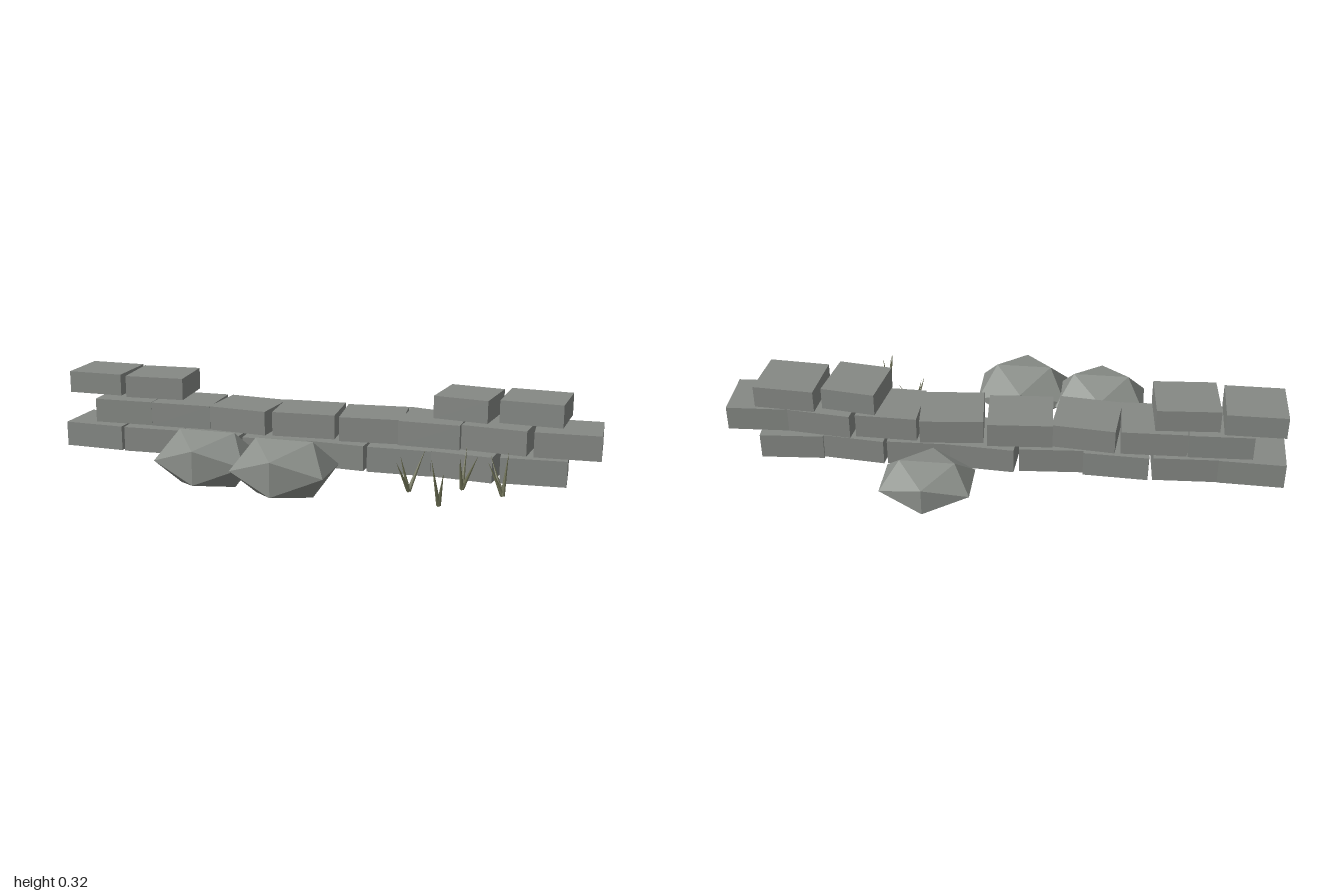
import * as THREE from 'three';

export function createModel() {
  const model = new THREE.Group();
  const mat = (name, color) => {
    const m = new THREE.MeshStandardMaterial({ color });
    m.name = name;
    return m;
  };
  const stone = mat('wall stone', 0x858884);
  const rockGrey = mat('rock grey', 0x8b8f8a);
  const dryGrass = mat('dry grass', 0x74775a);
  rockGrey.flatShading = true;

  // Wall courses: each block is [centre x, centre z, length, turn]
  const course = (name, y, height, blocks) => {
    const group = new THREE.Group();
    group.name = name;
    for (const [x, z, length, turn] of blocks) {
      const block = new THREE.Mesh(new THREE.BoxGeometry(length, height, 0.2), stone);
      block.name = 'wallBlock';
      block.position.set(x, y, z);
      block.rotation.y = turn;
      group.add(block);
    }
    model.add(group);
  };
  course('bottomCourse', 0.078, 0.092, [
    [-0.88, -0.045, 0.232, -0.03], [-0.645, -0.045, 0.23, 0.05],
    [-0.408, -0.05, 0.23, -0.04], [-0.17, -0.04, 0.23, 0.07],
    [0.065, -0.052, 0.23, -0.06], [0.3, -0.047, 0.23, 0.03],
    [0.53, -0.045, 0.23, -0.09], [0.767, -0.053, 0.228, 0.07],
  ]);
  course('middleCourse', 0.181, 0.088, [
    [-0.76, -0.045, 0.225, 0.04], [-0.53, -0.05, 0.23, 0.03],
    [-0.295, -0.045, 0.225, -0.09], [-0.058, -0.05, 0.23, 0.07],
    [0.187, -0.052, 0.225, 0.1], [0.41, -0.05, 0.22, -0.02],
    [0.645, -0.05, 0.23, -0.1], [0.882, -0.043, 0.226, 0.05],
  ]);
  course('topCourse', 0.281, 0.08, [
    [-0.874, -0.055, 0.21, 0], [-0.637, -0.047, 0.222, 0.07],
    [0.53, -0.052, 0.195, -0.13], [0.765, -0.06, 0.218, -0.06],
  ]);

  // Flattened rocks: [position, scale]
  const rocks = [
    [[-0.33, 0.1, 0.274], [0.194, 0.115, 0.166]],
    [[-0.034, 0.101, 0.311], [0.194, 0.115, 0.182]],
    [[0.234, 0.101, -0.337], [0.182, 0.09, 0.154]],
  ];
  for (const [position, scale] of rocks) {
    const rock = new THREE.Mesh(new THREE.IcosahedronGeometry(1, 0), rockGrey);
    rock.name = 'rock';
    rock.position.set(...position);
    rock.scale.set(...scale);
    model.add(rock);
  }

  // Grass tufts: a root and the tips of its blades
  const tufts = [
    [[0.38, 0.03, 0.225], [[0.425, 0.17, 0.17], [0.348, 0.145, 0.28], [0.352, 0.155, 0.235]]],
    [[0.548, 0.03, 0.15], [[0.553, 0.172, 0.1], [0.6, 0.15, 0.15], [0.547, 0.16, 0.2]]],
    [[0.692, 0.03, 0.185], [[0.64, 0.155, 0.135], [0.642, 0.15, 0.2], [0.705, 0.18, 0.165]]],
    [[0.508, 0.03, 0.345], [[0.5, 0.165, 0.405], [0.53, 0.155, 0.385], [0.485, 0.19, 0.365]]],
  ];
  const up = new THREE.Vector3(0, 1, 0);
  for (const [root, tips] of tufts) {
    const tuft = new THREE.Group();
    tuft.name = 'grassTuft';
    tuft.position.set(...root);
    for (const tip of tips) {
      const lean = new THREE.Vector3(...tip).sub(tuft.position);
      const blade = new THREE.Mesh(new THREE.ConeGeometry(0.008, lean.length(), 4), dryGrass);
      blade.name = 'grassBlade';
      blade.position.copy(lean).multiplyScalar(0.5);
      blade.quaternion.setFromUnitVectors(up, lean.clone().normalize());
      tuft.add(blade);
    }
    model.add(tuft);
  }
  return model;
}
